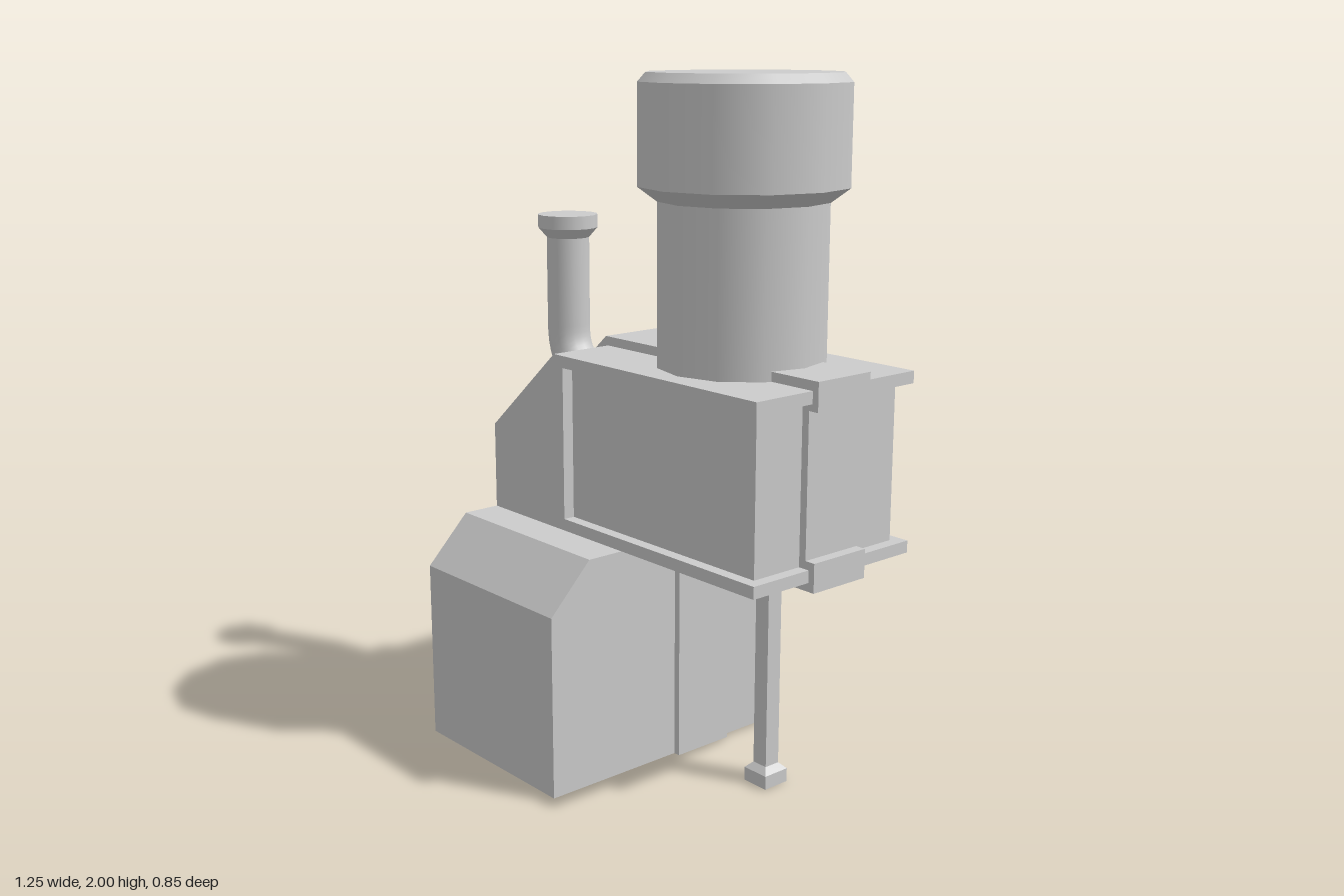
import * as THREE from 'three';

const grey = (opts = {}) => new THREE.MeshStandardMaterial({ color: 0xcccccc, ...opts });
const flat = grey({ flatShading: true, side: THREE.DoubleSide });
const smooth = grey();
const FLOOR = 0.01, MID_Z = -0.125;

// Prism from [x, y] points, running from z0 to z1
function prism(points, z0, z1) {
  const shape = new THREE.Shape(points.map(([x, y]) => new THREE.Vector2(x, y)));
  return new THREE.ExtrudeGeometry(shape, { depth: z1 - z0, bevelEnabled: false }).translate(0, 0, z0);
}

// Removes the triangles lying on the floor plane
function openBottom(geometry) {
  const p = geometry.attributes.position, kept = [];
  for (let i = 0; i < p.count; i += 3) {
    if ([0, 1, 2].every(k => p.getY(i + k) < FLOOR + 0.001)) continue;
    for (let k = 0; k < 3; k++) kept.push(p.getX(i + k), p.getY(i + k), p.getZ(i + k));
  }
  const out = new THREE.BufferGeometry();
  out.setAttribute('position', new THREE.Float32BufferAttribute(kept, 3));
  out.computeVertexNormals();
  return out;
}

// Box given by its minimum and maximum corners
function box([x0, y0, z0], [x1, y1, z1]) {
  return new THREE.BoxGeometry(x1 - x0, y1 - y0, z1 - z0)
    .translate((x0 + x1) / 2, (y0 + y1) / 2, (z0 + z1) / 2);
}

// Stack of rings: each [radius, y] pair is joined to the next with a sharp edge
function stack(name, x, rings, sides) {
  const group = new THREE.Group();
  group.name = name;
  for (let i = 0; i < rings.length - 1; i++) {
    const [r0, y0] = rings[i], [r1, y1] = rings[i + 1];
    const last = i === rings.length - 2;
    const g = new THREE.CylinderGeometry(r1, r0, y1 - y0, sides, 1, !last);
    const m = new THREE.Mesh(g, smooth);
    m.name = name + 'Section';
    m.position.set(x, (y0 + y1) / 2, MID_Z);
    group.add(m);
  }
  return group;
}

export function createModel() {
  const model = new THREE.Group();
  model.name = 'machine';
  const add = (name, geometry, material = flat) => {
    const m = new THREE.Mesh(geometry, material);
    m.name = name;
    model.add(m);
    return m;
  };

  // Base column with chamfered front block, open underneath (profile in -z, y)
  const base = prism([[-0.425, FLOOR], [0.425, FLOOR], [0.425, 0.685], [-0.29, 0.685], [-0.425, 0.545]], -0.525, 0.075);
  add('baseColumn', openBottom(base.rotateY(Math.PI / 2)));

  // Sloped shoulder above the column
  add('shoulder', prism([[-0.525, 0.685], [-0.185, 0.685], [-0.185, 1.205], [-0.225, 1.205], [-0.525, 0.945]], -0.425, 0.175));

  // Overhanging arm: recessed core between two flanges
  add('armCore', box([-0.185, 0.72, -0.39], [0.57, 1.17, 0.14]));
  for (const [name, y] of [['lowerFlange', 0.685], ['upperFlange', 1.17]]) {
    add(name, box([-0.185, y, -0.425], [0.605, y + 0.035, 0.175]));
  }

  // Raised band wrapping the body, outer outline then inner outline
  add('band', openBottom(prism([
    [-0.548, FLOOR], [0.075 + 0.02, FLOOR], [0.095, 0.66], [0.625, 0.66], [0.625, 0.743], [0.593, 0.743],
    [0.593, 1.15], [0.625, 1.15], [0.625, 1.232], [-0.235, 1.232], [-0.55, 0.96],
  ].toSpliced(1, 0,
    [-0.525, FLOOR], [-0.525, 0.945], [-0.225, 1.205], [0.605, 1.205], [0.605, 1.17], [0.57, 1.17],
    [0.57, 0.72], [0.605, 0.72], [0.605, 0.685], [0.075, 0.685], [0.075, FLOOR],
  ), -0.225, -0.027)));

  // Large capped chimney
  model.add(stack('chimney', 0.24,
    [[0.24, 1.2], [0.24, 1.66], [0.294, 1.7], [0.294, 1.975], [0.272, 2]], 12));

  // Bent exhaust pipe and its cap
  const path = new THREE.CurvePath();
  const v = (x, y) => new THREE.Vector3(x, y, MID_Z);
  path.add(new THREE.LineCurve3(v(-0.538, 1.5), v(-0.538, 1.21)));
  path.add(new THREE.CubicBezierCurve3(v(-0.538, 1.21), v(-0.538, 1.12), v(-0.49, 1.075), v(-0.37, 1.02)));
  add('exhaustPipe', new THREE.TubeGeometry(path, 24, 0.066, 16), smooth);
  model.add(stack('exhaustCap', -0.538, [[0.066, 1.49], [0.092, 1.52], [0.092, 1.56]], 16));

  // Square support leg with flared head and foot
  const profile = [[0.043, 0], [0.043, 0.04], [0.025, 0.058], [0.025, 0.635], [0.043, 0.65], [0.043, 0.662]]
    .map(([half, y]) => new THREE.Vector2(half * Math.SQRT2, y));
  const leg = add('supportLeg', new THREE.LatheGeometry(profile, 4, Math.PI / 4).toNonIndexed());
  leg.position.set(0.367, 0, -0.12);

  return model;
}
